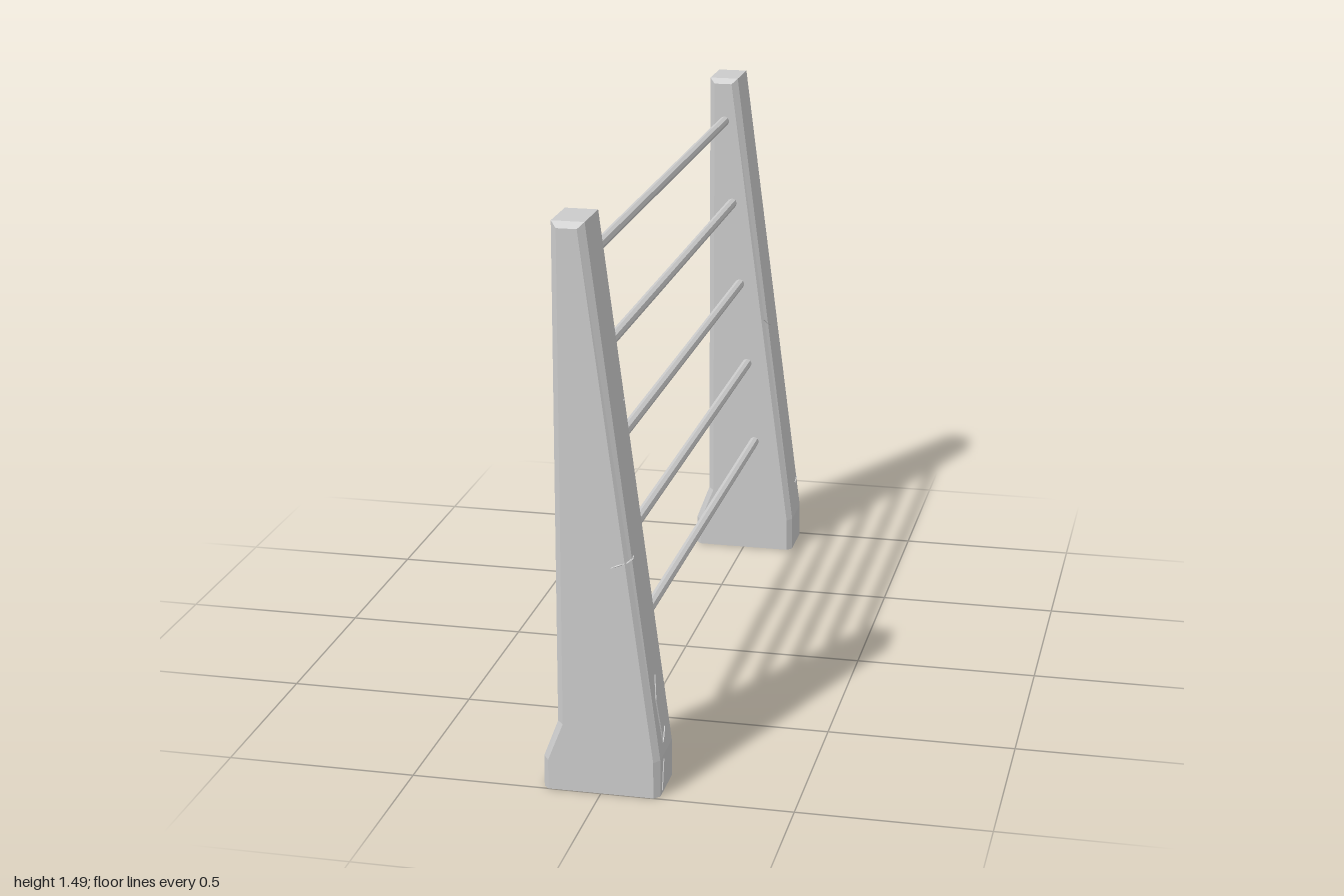
import * as THREE from 'three';

const concrete = new THREE.MeshStandardMaterial({ color: 0xcbcbcb, flatShading: true });
concrete.name = 'light grey';

// Side outline of a post, and the same outline drawn in for the bevelled end faces
const outer = [[-0.152, 0], [0.152, 0], [0.152, 0.1], [-0.03, 1.49], [-0.114, 1.49], [-0.114, 0.185], [-0.152, 0.085]];
const inner = [[-0.138, 0], [0.137, 0], [0.137, 0.098], [-0.046, 1.475], [-0.098, 1.475], [-0.098, 0.182], [-0.138, 0.08]];
const POST_Z = 0.919;

function meshFrom(name, positions, index) {
  const indexed = new THREE.BufferGeometry();
  indexed.setAttribute('position', new THREE.Float32BufferAttribute(positions, 3));
  indexed.setIndex(index);
  const geometry = indexed.toNonIndexed();
  geometry.computeVertexNormals();
  const mesh = new THREE.Mesh(geometry, concrete);
  mesh.name = name;
  return mesh;
}

// Joins the outlines along z and caps both ends
function buildPost(name) {
  const loops = [[inner, -0.081], [outer, -0.066], [outer, 0.066], [inner, 0.081]];
  const n = outer.length, positions = [], index = [];
  for (const [outline, z] of loops) for (const [x, y] of outline) positions.push(x, y, z);
  for (let l = 0; l < loops.length - 1; l++) {
    for (let i = 0; i < n; i++) {
      const a = l * n + i, b = l * n + (i + 1) % n;
      index.push(a, b, b + n, a, b + n, a + n);
    }
  }
  const last = (loops.length - 1) * n;
  const caps = THREE.ShapeUtils.triangulateShape(inner.map(p => new THREE.Vector2(...p)), []);
  for (const [a, b, c] of caps) index.push(last + a, last + b, last + c, a, c, b);
  return meshFrom(name, positions, index);
}

// A hairline crack: a narrow folded strip; place(u, v, height) lays it on a face
function crack(name, points, place, width = 0.005) {
  const last = points.length - 1, positions = [], index = [];
  points.forEach(([u, v], i) => {
    const p = points[Math.max(i - 1, 0)], q = points[Math.min(i + 1, last)];
    const du = q[0] - p[0], dv = q[1] - p[1];
    const w = (i === 0 || i === last ? 0.15 : 0.5) * width / Math.hypot(du, dv);
    positions.push(
      ...place(u + dv * w, v - du * w, -0.0005),
      ...place(u, v, 0.0025),
      ...place(u - dv * w, v + du * w, -0.0005));
    if (i === last) return;
    for (const a of [i * 3, i * 3 + 1]) index.push(a, a + 3, a + 4, a, a + 4, a + 1);
  });
  return meshFrom(name, positions, index);
}

const onFrontFace = (x, y, h) => [x, y, POST_Z + 0.081 + h];

// The sloping side of the posts, falling away over the bevels; u runs along -z
function onSlope(u, y, h) {
  const x = 0.152 - 0.182 * Math.max(0, y - 0.1) / 1.39;
  const bevel = Math.max(0, Math.abs(Math.abs(u) - POST_Z) - 0.066);
  return [x + h - bevel, y, -u];
}

export function createModel() {
  const model = new THREE.Group();
  model.name = 'railFence';

  // Two tapered posts
  for (const [name, z] of [['frontPost', POST_Z], ['backPost', -POST_Z]]) {
    const post = buildPost(name);
    post.position.z = z;
    model.add(post);
  }

  // Five rails that follow the slope of the posts
  const railGeometry = new THREE.CylinderGeometry(0.0145, 0.0145, 1.7, 8);
  railGeometry.rotateX(Math.PI / 2);
  for (let i = 0; i < 5; i++) {
    const rail = new THREE.Mesh(railGeometry, concrete);
    rail.name = 'rail' + (i + 1);
    rail.position.set(0.032 - 0.0248 * i, 0.352 + 0.2525 * i, 0);
    model.add(rail);
  }

  // Hairline cracks in the posts
  model.add(
    crack('frontFaceCrack', [[0.03, 0.615], [0.05, 0.623], [0.066, 0.63]], onFrontFace),
    crack('lowerCrack', [[-0.93, 0.31], [-0.952, 0.25], [-0.94, 0.13], [-0.905, 0.16]], onSlope),
    crack('footCrack', [[-0.968, 0.01], [-0.95, 0.09]], onSlope),
    crack('frontEdgeCrack', [[-0.998, 0.63], [-0.985, 0.637], [-0.97, 0.642]], onSlope),
    crack('upperEdgeCrack', [[-0.872, 1.012], [-0.855, 1.01], [-0.843, 1.006]], onSlope),
    crack('backInnerCrack', [[0.843, 0.745], [0.855, 0.728], [0.875, 0.722]], onSlope),
    crack('backOuterCrack', [[0.95, 0.187], [0.985, 0.195], [0.997, 0.2]], onSlope),
  );
  return model;
}
